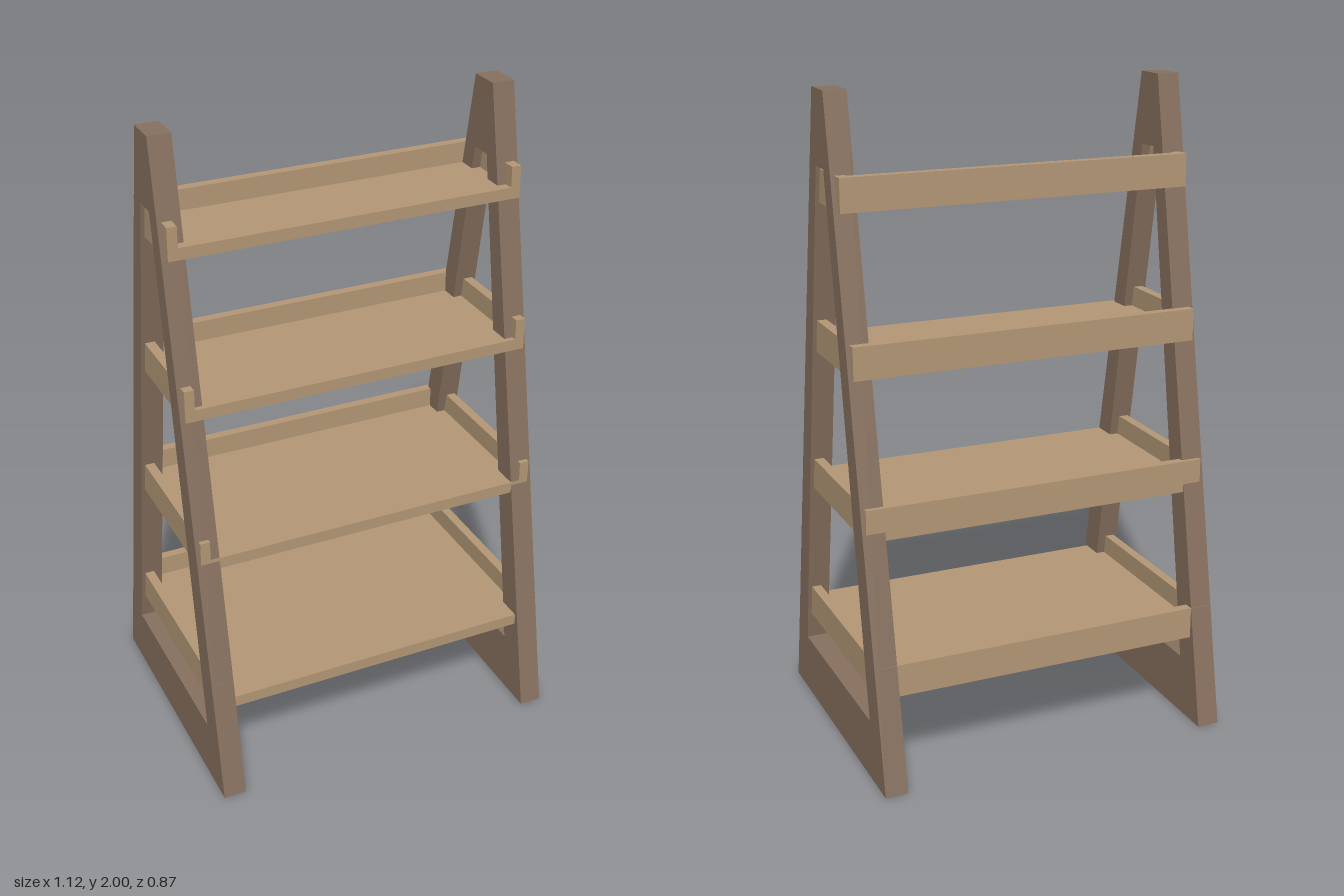
import * as THREE from 'three';

export function createModel() {
  const model = new THREE.Group();
  model.name = 'ladderShelf';

  const frameWood = new THREE.MeshStandardMaterial({ color: 0x87705f });
  frameWood.name = 'dark frame wood';
  const shelfWood = new THREE.MeshStandardMaterial({ color: 0xb39776 });
  shelfWood.name = 'light shelf wood';

  // Side frames: tapered A shape with a tapered opening
  const trapezoid = (Type, y0, half0, y1, half1) => {
    const s = new Type();
    s.moveTo(-half0, y0);
    s.lineTo(half0, y0);
    s.lineTo(half1, y1);
    s.lineTo(-half1, y1);
    s.closePath();
    return s;
  };
  const outline = trapezoid(THREE.Shape, 0, 0.435, 2, 0.05);
  outline.holes.push(trapezoid(THREE.Path, 0.19, 0.307, 1.78, 0.035));
  const frameGeometry = new THREE.ExtrudeGeometry(outline, { depth: 0.07, bevelEnabled: false });
  frameGeometry.translate(0, 0, -0.035);
  frameGeometry.rotateY(-Math.PI / 2);
  for (const [name, side] of [['leftFrame', 1], ['rightFrame', -1]]) {
    const frame = new THREE.Mesh(frameGeometry, frameWood);
    frame.name = name;
    frame.position.x = side * 0.525;
    model.add(frame);
  }

  // Shelves: a board with a rim at the back and both ends, open at the front
  const halfWidth = 0.548, rim = 0.03, height = 0.1, board = 0.036;
  const addBox = (parent, name, w, h, d, x, y, z) => {
    const mesh = new THREE.Mesh(new THREE.BoxGeometry(w, h, d), shelfWood);
    mesh.name = name;
    mesh.position.set(x, y, z);
    parent.add(mesh);
  };
  const shelves = [[0.28, 0.362], [0.743, 0.287], [1.206, 0.212], [1.67, 0.137]];
  shelves.forEach(([bottom, halfDepth], i) => {
    const shelf = new THREE.Group();
    shelf.name = `shelf${i + 1}`;
    shelf.position.y = bottom;
    const depth = 2 * halfDepth - rim;
    addBox(shelf, 'board', 2 * (halfWidth - rim), board, depth, 0, board / 2, rim / 2);
    addBox(shelf, 'backRim', 2 * halfWidth, height, rim, 0, height / 2, -halfDepth + rim / 2);
    for (const [name, side] of [['leftRim', 1], ['rightRim', -1]]) {
      addBox(shelf, name, rim, height, depth, side * (halfWidth - rim / 2), height / 2, rim / 2);
    }
    model.add(shelf);
  });

  return model;
}
